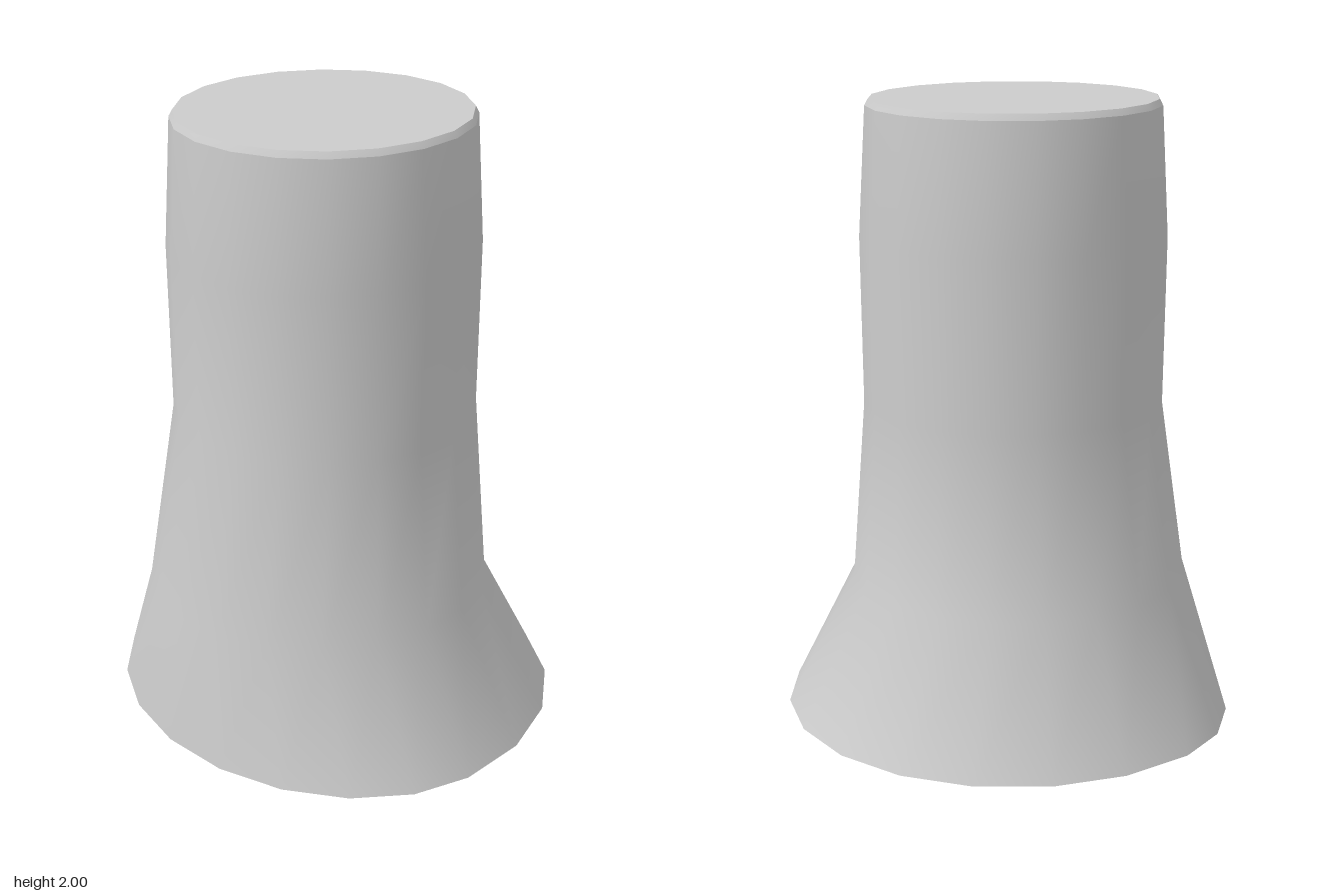
import * as THREE from 'three';

const SIDES = 20;

// Cross-sections: height, centre x, half-width towards -x, half-width towards +x, half-depth
const RINGS = [
  [0, -0.08, 0.62, 0.78, 0.76],
  [0.44, -0.08, 0.57, 0.55, 0.545],
  [1.03, -0.06, 0.49, 0.495, 0.48],
  [1.57, -0.058, 0.498, 0.498, 0.487],
  [1.98, -0.058, 0.474, 0.474, 0.465],
  [2, -0.058, 0.464, 0.464, 0.453],
];

function ringPoints([y, cx, left, right, depth]) {
  const points = [];
  for (let k = 0; k < SIDES; k++) {
    const a = (k / SIDES) * Math.PI * 2;
    const c = Math.cos(a);
    points.push(cx + c * (c < 0 ? left : right), y, depth * Math.sin(a));
  }
  return points;
}

function makeGeometry(positions, index) {
  const geometry = new THREE.BufferGeometry();
  geometry.setAttribute('position', new THREE.Float32BufferAttribute(positions, 3));
  geometry.setIndex(index);
  geometry.computeVertexNormals();
  return geometry;
}

// Smooth wall lofted through the given rings
function loft(rings) {
  const index = [];
  for (let r = 0; r < rings.length - 1; r++) {
    for (let k = 0; k < SIDES; k++) {
      const a = r * SIDES + k;
      const b = r * SIDES + ((k + 1) % SIDES);
      index.push(a, a + SIDES, b, b, a + SIDES, b + SIDES);
    }
  }
  return makeGeometry(rings.flatMap(ringPoints), index);
}

// Flat lid closing one ring
function lid(ring) {
  const index = [];
  for (let k = 0; k < SIDES; k++) index.push(SIDES, (k + 1) % SIDES, k);
  return makeGeometry([...ringPoints(ring), ring[1], ring[0], 0], index);
}

export function createModel() {
  const group = new THREE.Group();
  group.name = 'flaredStump';
  const material = new THREE.MeshStandardMaterial({ color: 0xcccccc, side: THREE.DoubleSide });

  const add = (name, geometry) => {
    const mesh = new THREE.Mesh(geometry, material);
    mesh.name = name;
    group.add(mesh);
  };

  // Column with a flared foot, open underneath
  add('column', loft(RINGS.slice(0, 5)));
  // Narrow bevel around the top
  add('topBevel', loft(RINGS.slice(4)));
  add('topCap', lid(RINGS[5]));

  return group;
}
